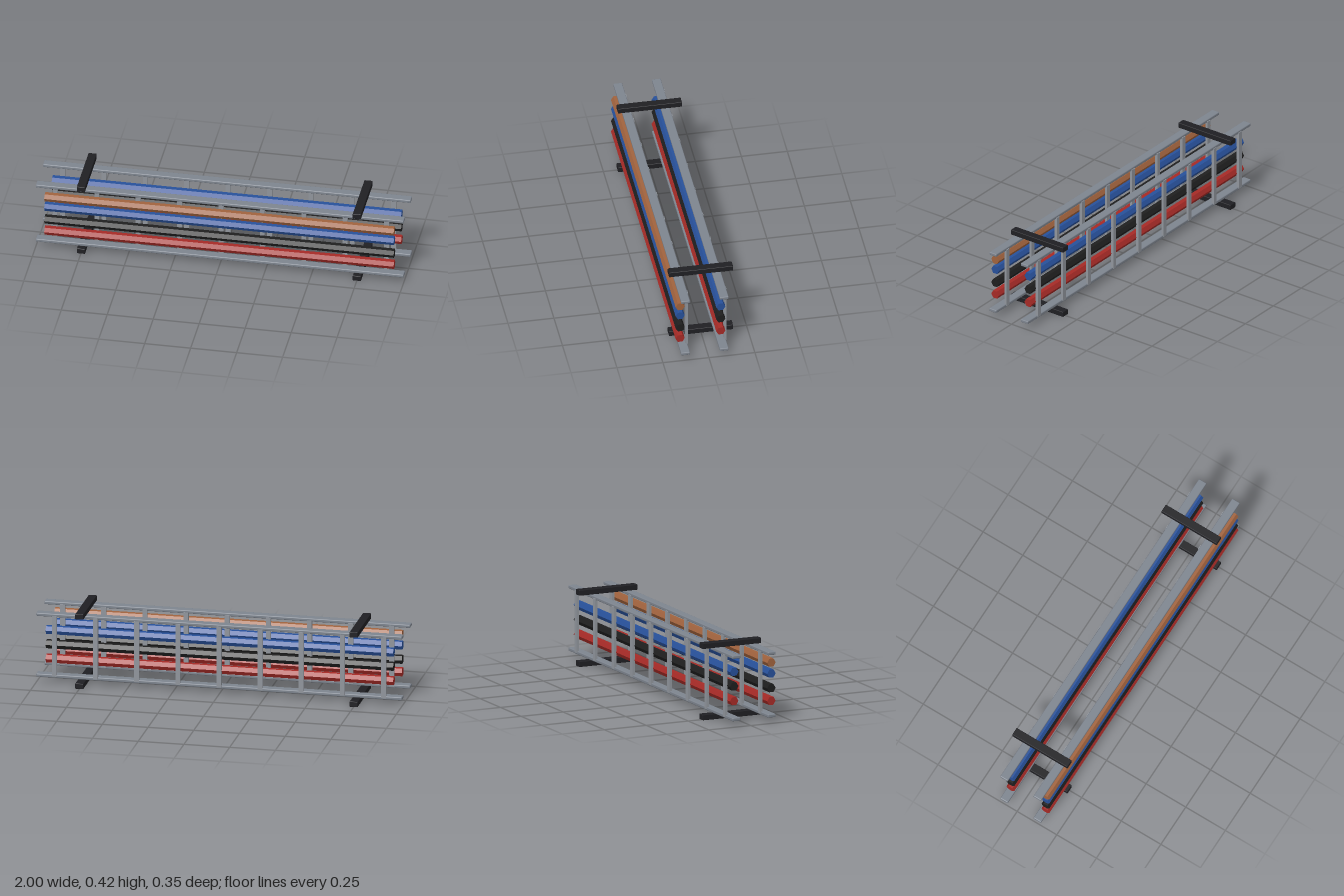
import * as THREE from 'three';
import { RoundedBoxGeometry } from 'three/addons/geometries/RoundedBoxGeometry.js';

const material = (color, flatShading = false) => new THREE.MeshStandardMaterial({ color, flatShading });
const steel = material(0x7d848e);
const rungSteel = material(0x90959c);
const strut = material(0x1f1f23);
const brown = material(0xa0623d, true);
const blue = material(0x27509a, true);
const black = material(0x1e1e1e, true);
const red = material(0xa52a26, true);

export function createModel() {
  const model = new THREE.Group();

  function add(parent, name, geometry, mat, x, y, z) {
    const mesh = new THREE.Mesh(geometry, mat);
    mesh.name = name;
    mesh.position.set(x, y, z);
    parent.add(mesh);
  }

  const railGeo = new RoundedBoxGeometry(2, 0.018, 0.048, 2, 0.005);
  const rungGeo = new THREE.BoxGeometry(0.026, 0.34, 0.015);
  const strutGeo = new RoundedBoxGeometry(0.045, 0.03, 0.348, 1, 0.003);
  // Six-sided cable lying along x, with a corner facing +z
  const cableGeo = new THREE.CylinderGeometry(0.025, 0.025, 1.9, 6).rotateZ(Math.PI / 2);

  // Upright ladder tray: two rails, nine rungs and the cables it carries
  function ladder(name, railZ, rungZ, cableZ, cables) {
    const group = new THREE.Group();
    group.name = name;
    add(group, 'bottomRail', railGeo, steel, 0, 0.041, railZ);
    add(group, 'topRail', railGeo, steel, 0, 0.382, railZ);
    for (let i = -4; i <= 4; i++) {
      add(group, 'rung', rungGeo, rungSteel, i * 0.225, 0.21, rungZ);
    }
    for (const [cableName, mat, y] of cables) {
      add(group, cableName, cableGeo, mat, 0, y, cableZ);
    }
    model.add(group);
  }

  ladder('frontLadder', 0.126, 0.105, 0.147, [
    ['redCable', red, 0.111],
    ['blackCable', black, 0.181],
    ['blueCable', blue, 0.261],
    ['brownCable', brown, 0.321],
  ]);
  ladder('backLadder', -0.084, -0.104, -0.074, [
    ['redCable', red, 0.131],
    ['blackCable', black, 0.211],
    ['blueCable', blue, 0.291],
  ]);

  // Cross struts above and below both ladders
  for (const x of [-0.75, 0.75]) {
    add(model, 'bottomStrut', strutGeo, strut, x, 0.015, 0);
    add(model, 'topStrut', strutGeo, strut, x, 0.405, 0);
  }
  return model;
}
